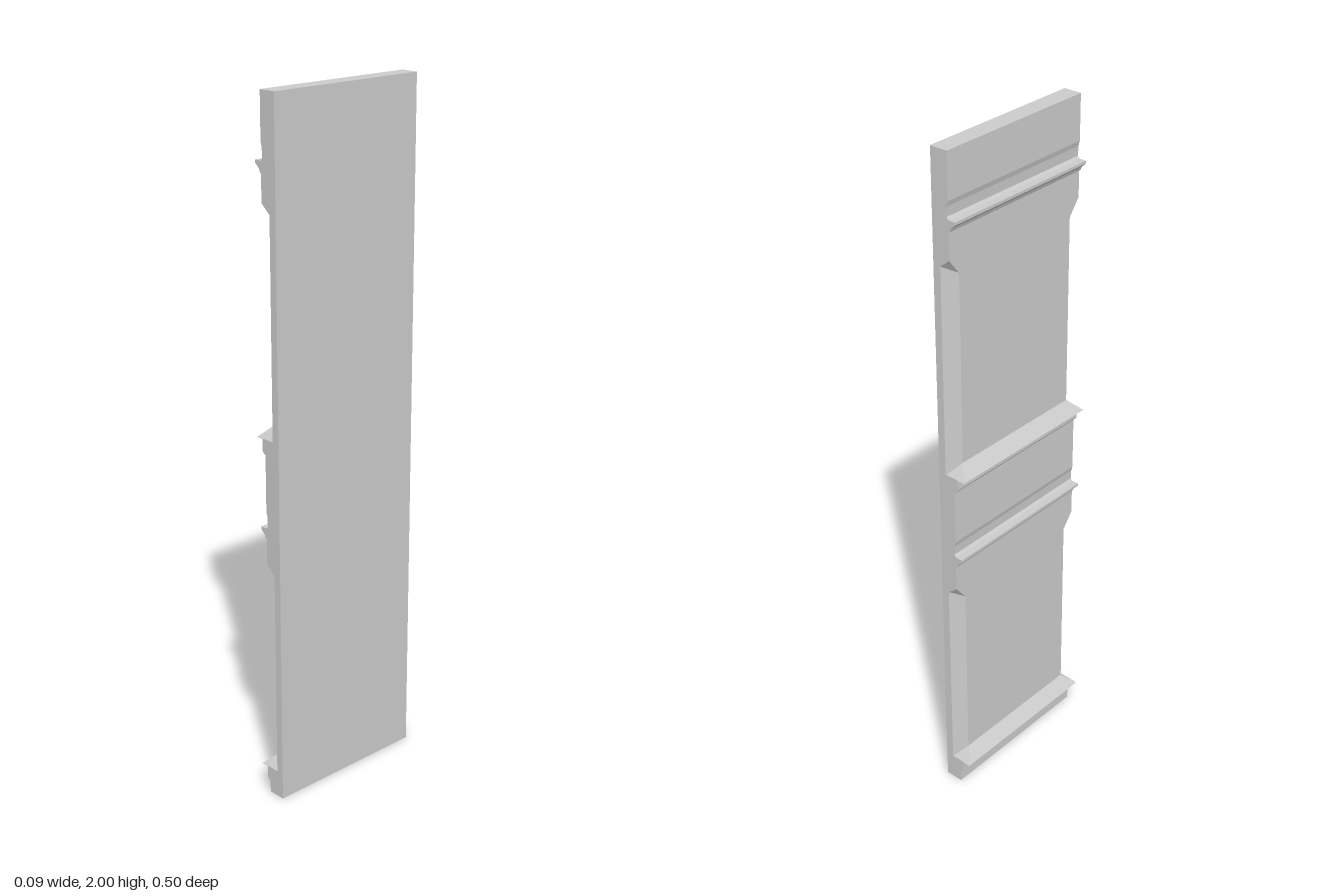
import * as THREE from 'three';
import { ConvexGeometry } from 'three/addons/geometries/ConvexGeometry.js';

const BACK = 0.043, FACE = -0.01, CUT = 0.02; // x of flat back, moulded face, chamfer edge
const END = 0.25, INNER = 0.215;              // half width, and half width inside the chamfers
const material = new THREE.MeshStandardMaterial({ color: 0xcccccc, flatShading: true });

function addMesh(parent, name, geometry) {
  const mesh = new THREE.Mesh(geometry, material);
  mesh.name = name;
  parent.add(mesh);
}

// Profile in x and y, run across the full width
function band(points) {
  const shape = new THREE.Shape(points.map(([x, y]) => new THREE.Vector2(x, y)));
  return new THREE.ExtrudeGeometry(shape, { depth: 2 * END, bevelEnabled: false }).translate(0, 0, -END);
}

const hull = (points) => new ConvexGeometry(points.map((p) => new THREE.Vector3(...p)));
const mirrored = (points) => points.flatMap(([x, y, z]) => [[x, y, z], [x, y, -z]]);

function createStorey() {
  const storey = new THREE.Group();

  // Plinth with the fillet under the sill
  addMesh(storey, 'plinth', band([
    [BACK, 0], [BACK, 0.08], [-0.021, 0.08], [-0.021, 0.045], [-0.016, 0.038], [FACE, 0.036], [FACE, 0],
  ]));

  // Sill with sloped top and hipped ends
  addMesh(storey, 'sill', hull(mirrored([
    [-0.045, 0.078, END], [CUT, 0.078, END], [FACE, 0.113, INNER],
  ])));

  // Panel with chamfered corners
  addMesh(storey, 'panel', hull(mirrored([0.078, 0.715].flatMap((y) => [
    [BACK, y, END], [CUT, y, END], [FACE, y, INNER],
  ]))));

  // Sloped stops closing the chamfers at the top
  for (const s of [1, -1]) {
    addMesh(storey, 'chamferStop', hull([
      [CUT, 0.69, s * END], [FACE, 0.715, s * END], [FACE, 0.67, s * INNER],
      [CUT, 0.715, s * END], [FACE, 0.715, s * INNER],
    ]));
  }

  // Upper wall with projecting drip moulding
  addMesh(storey, 'cornice', band([
    [BACK, 0.715], [BACK, 1], [FACE, 1], [FACE, 0.872], [-0.006, 0.857], [-0.005, 0.83],
    [-0.012, 0.823], [-0.032, 0.823], [-0.032, 0.815], [-0.018, 0.802], [-0.014, 0.792],
    [FACE, 0.79], [FACE, 0.715],
  ]));
  return storey;
}

export function createModel() {
  const model = new THREE.Group();
  model.name = 'wallPanel';
  ['lowerStorey', 'upperStorey'].forEach((name, i) => {
    const storey = createStorey();
    storey.name = name;
    storey.position.y = i;
    model.add(storey);
  });
  return model;
}
